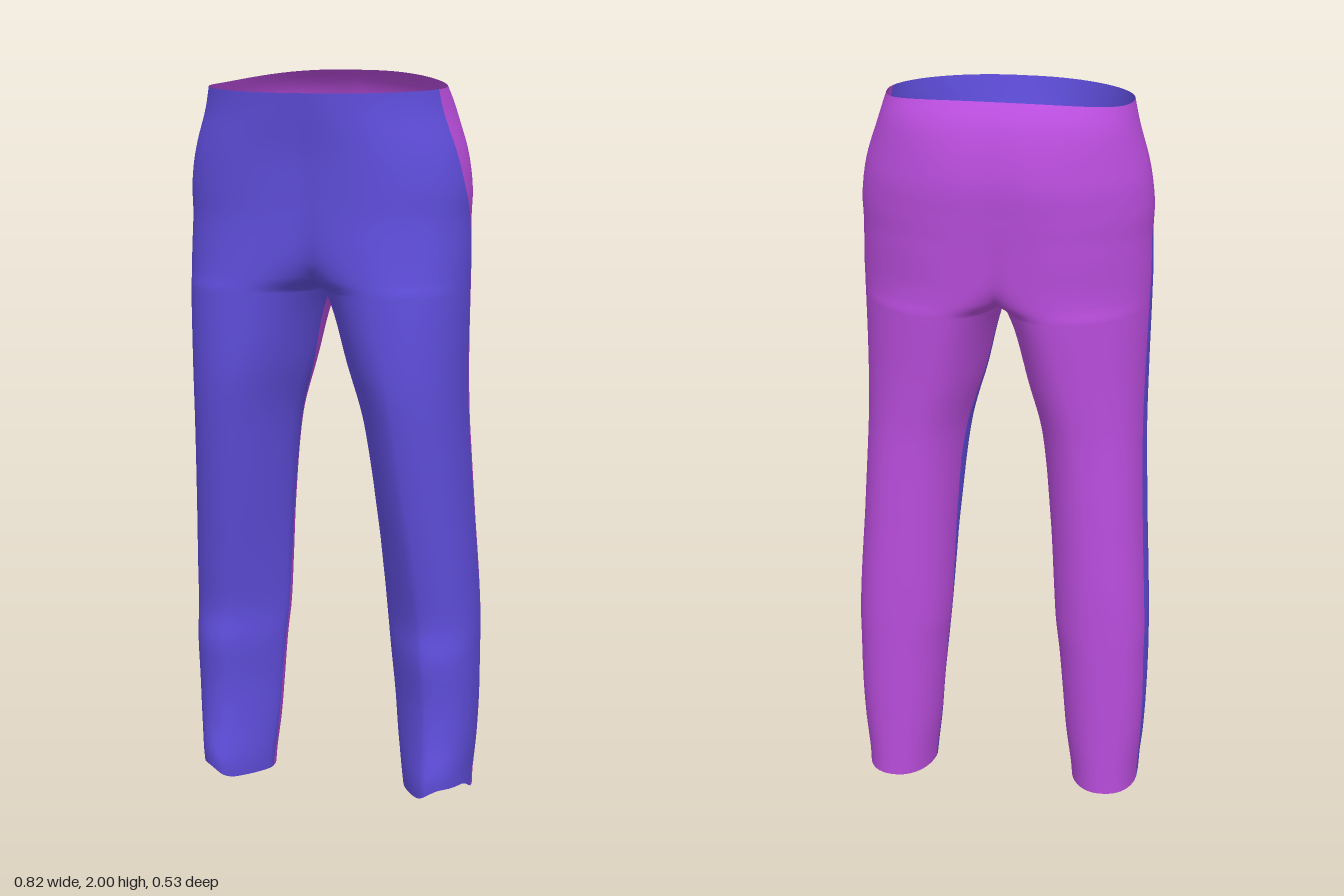
import * as THREE from 'three';

const CROTCH = 1.42, TOP = 1.966, COLS = 22;
// Leg outline by height: y, inner x, outer x, front z, back z, outer seam z
// (above the crotch the inner x passes the middle and the section is cut at x = 0)
const KEYS = [
  [0, 0.20, 0.39, 0.083, -0.195, -0.085],
  [0.04, 0.196, 0.392, 0.088, -0.195, -0.09],
  [0.15, 0.182, 0.402, 0.074, -0.197, -0.105],
  [0.27, 0.172, 0.408, 0.072, -0.20, -0.11],
  [0.4, 0.16, 0.41, 0.086, -0.203, -0.114],
  [0.49, 0.15, 0.41, 0.08, -0.205, -0.112],
  [0.62, 0.141, 0.405, 0.103, -0.206, -0.105],
  [0.8, 0.128, 0.395, 0.14, -0.203, -0.087],
  [1.05, 0.10, 0.385, 0.187, -0.201, -0.058],
  [1.2, 0.06, 0.385, 0.21, -0.213, -0.042],
  [1.42, 0, 0.39, 0.22, -0.236, -0.03],
  [1.46, -0.06, 0.391, 0.22, -0.239, -0.028],
  [1.52, -0.13, 0.392, 0.221, -0.243, -0.025],
  [1.62, -0.2, 0.39, 0.223, -0.25, -0.018],
  [1.7, -0.225, 0.392, 0.228, -0.257, 0.025],
  [1.8, -0.24, 0.378, 0.237, -0.262, 0.05],
  [1.9, -0.26, 0.348, 0.252, -0.235, 0.064],
  [1.966, -0.28, 0.33, 0.262, -0.192, 0.07],
];

// Smooth interpolation through the keys
function outline(y) {
  let i = 0;
  while (i < KEYS.length - 2 && y > KEYS[i + 1][0]) i++;
  const a = KEYS[i], b = KEYS[i + 1];
  const p = KEYS[Math.max(i - 1, 0)], q = KEYS[Math.min(i + 2, KEYS.length - 1)];
  const h = b[0] - a[0], t = (y - a[0]) / h, t2 = t * t, t3 = t2 * t;
  return a.map((v, k) => {
    const m0 = (b[k] - p[k]) / (b[0] - p[0]) * h, m1 = (q[k] - a[k]) / (q[0] - a[0]) * h;
    return (2 * t3 - 3 * t2 + 1) * v + (t3 - 2 * t2 + t) * m0 + (3 * t2 - 2 * t3) * b[k] + (t3 - t2) * m1;
  });
}

const { lerp, smoothstep, clamp } = THREE.MathUtils;
const spow = (v, e) => Math.sign(v) * Math.abs(v) ** e;

// One horizontal section: front middle -> outer seam -> back middle
function section(y) {
  const [, xi, xo, zf, zb, zo] = outline(y);
  const cz = (zf + zb) / 2, hz = (zf - zb) / 2;
  // crest of the front and of the back, which leans inward at the thigh
  const crestFront = lerp(xi, xo, 0.5 + 0.04 * (1 - smoothstep(y, 0.3, 1)));
  const crestBack = lerp(xi, xo, 0.5 - 0.12 * smoothstep(y, 0.8, 1.4) * (1 - smoothstep(y, 1.42, 1.62)));
  // roundness of each quarter
  const frontIn = 1.3 + 0.25 * smoothstep(y, 0.4, 1.1) + 0.65 * smoothstep(y, 1.1, 1.5);
  const frontOut = 2.2 - 0.3 * smoothstep(y, 1.75, TOP);
  const backIn = lerp(2, 2.5, smoothstep(y, 1.2, 1.6));
  const backOut = 2.4 - 0.6 * smoothstep(y, 0.9, 1.5) + 0.4 * smoothstep(y, 1.8, TOP);
  const power = (front, outer) => (front ? (outer ? frontOut : frontIn) : (outer ? backOut : backIn));
  const seamAngle = (z, outer) => {
    const w = clamp((z - cz) / hz, -1, 1);
    return Math.asin(spow(w, power(w > 0, outer) / 2));
  };
  const middleAngle = (crest, n) => Math.acos(-(Math.min(crest / (crest - xi), 1) ** (n / 2)));

  const joined = y > CROTCH - 1e-6, aOut = seamAngle(zo, true);
  let aFront, aBack;
  if (joined) {
    aFront = middleAngle(crestFront, frontIn);
    aBack = -middleAngle(crestBack, backIn);
  } else {
    const zi = lerp(cz, -0.07, smoothstep(CROTCH - y, 0, 0.5));
    aFront = Math.PI - seamAngle(zi, false);
    aBack = aFront - 2 * Math.PI;
  }
  const points = [];
  for (let c = 0; c <= 2 * COLS; c++) {
    const a = c <= COLS ? lerp(aFront, aOut, c / COLS) : lerp(aOut, aBack, c / COLS - 1);
    const co = Math.cos(a), si = Math.sin(a), e = 2 / power(si > 0, co > 0);
    const crest = si > 0 ? crestFront : crestBack;
    let x = crest + (co > 0 ? xo - crest : crest - xi) * spow(co, e);
    const z = cz + hz * spow(si, e);
    if (joined && (c === 0 || c === 2 * COLS)) x = 0;
    // waist rises to the back, front hem lifts on the outer side
    const rise = smoothstep(y, 1.75, TOP) * (0.027 * Math.min(z / 0.19, 0) ** 2 - 0.035 * z);
    const lift = 0.033 * (1 - smoothstep(y, 0, 0.2)) * smoothstep(x, 0.27, 0.35) * smoothstep(z, -0.1, 0);
    points.push([x, y + rise + lift, z]);
  }
  return points;
}

// Front and back panels of one side, sharing vertices so shading runs over the seams
function buildSide(s) {
  const heights = [];
  for (let i = 0; i < 70; i++) heights.push(CROTCH * (1 - (1 - i / 70) ** 1.2));
  for (let i = 0; i <= 48; i++) heights.push(CROTCH + (TOP - CROTCH) * (i / 48) ** 1.8);
  const W = 2 * COLS + 1, pos = [], frontIndex = [], backIndex = [];
  heights.forEach((y) => section(y).forEach(([x, py, z]) => pos.push(s * x, py, z)));
  for (let r = 0; r < heights.length - 1; r++) {
    for (let c = 0; c < W - 1; c++) {
      const a = r * W + c, b = a + 1, d = a + W, e = d + 1;
      const out = c < COLS ? frontIndex : backIndex;
      if (s > 0) out.push(a, b, e, a, e, d);
      else out.push(a, e, b, a, d, e);
    }
  }
  const whole = new THREE.BufferGeometry();
  whole.setAttribute('position', new THREE.Float32BufferAttribute(pos, 3));
  whole.setIndex([...frontIndex, ...backIndex]);
  whole.computeVertexNormals();

  // Even out normals along the inseam and the middle seam
  const N = whole.attributes.normal, n1 = new THREE.Vector3(), n2 = new THREE.Vector3();
  heights.forEach((y, r) => {
    const i = r * W, j = i + W - 1;
    n1.fromBufferAttribute(N, i);
    n2.fromBufferAttribute(N, j);
    if (y < CROTCH - 1e-6) {
      n1.add(n2).normalize();
      n2.copy(n1);
    } else {
      n1.setX(0).normalize();
      n2.setX(0).normalize();
    }
    N.setXYZ(i, n1.x, n1.y, n1.z);
    N.setXYZ(j, n2.x, n2.y, n2.z);
  });
  return [frontIndex, backIndex].map((index) => {
    const g = new THREE.BufferGeometry();
    g.setAttribute('position', whole.attributes.position);
    g.setAttribute('normal', N);
    g.setIndex(index);
    return g;
  });
}

export function createModel() {
  const model = new THREE.Group();
  model.name = 'trousers';
  const frontCloth = new THREE.MeshStandardMaterial({ color: 0x614fdf, side: THREE.DoubleSide });
  const backCloth = new THREE.MeshStandardMaterial({ color: 0xb94ddc, side: THREE.DoubleSide });
  for (const [s, side] of [[1, 'left'], [-1, 'right']]) {
    const [front, back] = buildSide(s);
    const frontPanel = new THREE.Mesh(front, frontCloth);
    frontPanel.name = side + 'FrontPanel';
    const backPanel = new THREE.Mesh(back, backCloth);
    backPanel.name = side + 'BackPanel';
    model.add(frontPanel, backPanel);
  }
  return model;
}
